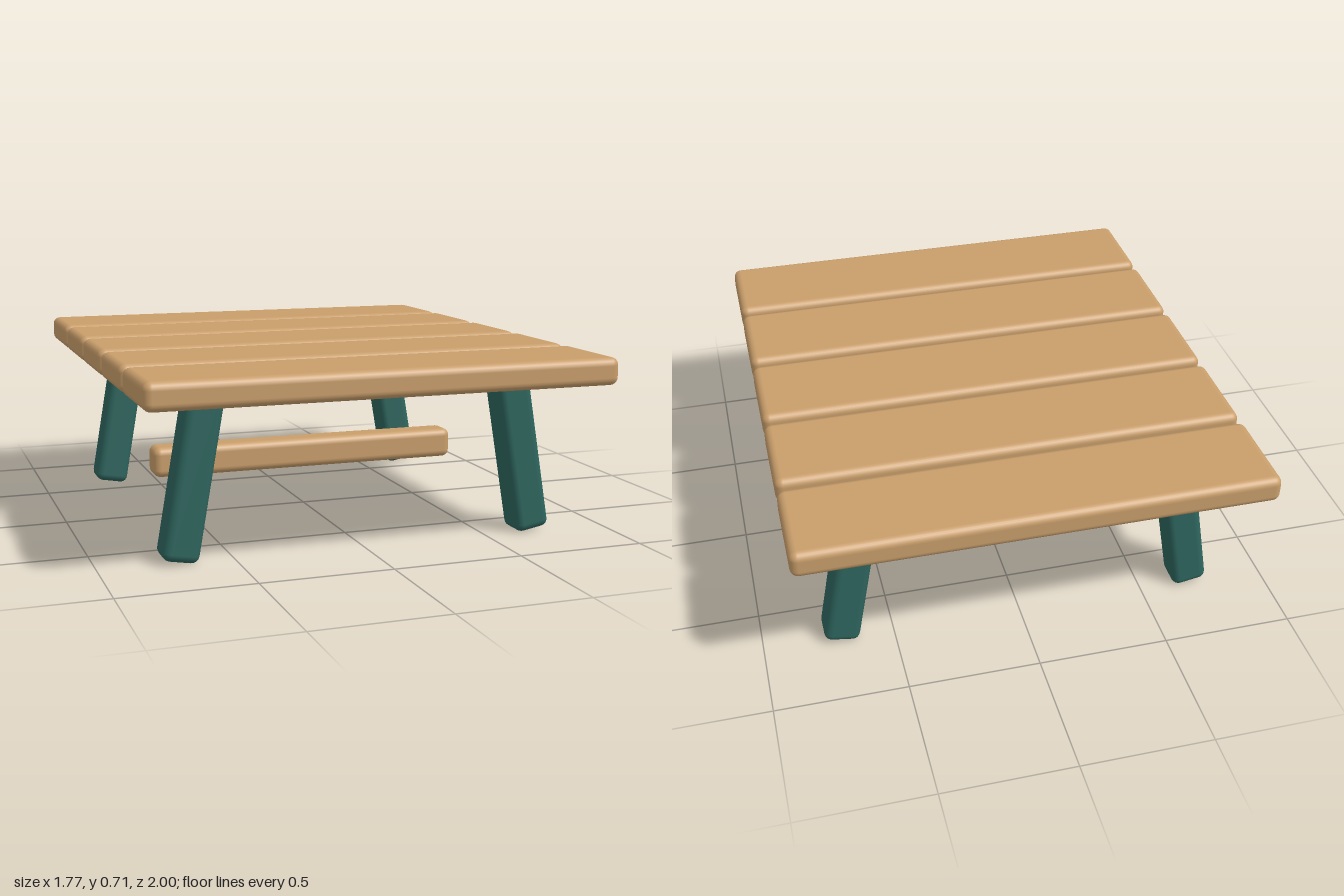
import * as THREE from 'three';
import { RoundedBoxGeometry } from 'three/addons/geometries/RoundedBoxGeometry.js';

export function createModel() {
  const table = new THREE.Group();
  table.name = 'lowPlankTable';

  const wood = new THREE.MeshStandardMaterial({ color: 0xc99e6b });
  wood.name = 'warm wood';
  const green = new THREE.MeshStandardMaterial({ color: 0x2e655e });
  green.name = 'dark green paint';

  // Softly rounded block centred on a point
  function block(name, size, position, material, radius) {
    const mesh = new THREE.Mesh(new RoundedBoxGeometry(...size, 3, radius), material);
    mesh.name = name;
    mesh.position.set(...position);
    table.add(mesh);
    return mesh;
  }

  // Table top: five planks with narrow gaps
  const plankWidth = 0.374;
  const pitch = (2 - plankWidth) / 4;
  for (let i = 0; i < 5; i++) {
    block(`topPlank${i + 1}`, [1.77, 0.104, plankWidth], [0, 0.662, (i - 2) * pitch], wood, 0.03);
  }

  // Four legs splayed outward by ten degrees
  for (const x of [-1, 1]) {
    for (const z of [-1, 1]) {
      const name = (z > 0 ? 'front' : 'back') + (x > 0 ? 'Left' : 'Right') + 'Leg';
      const leg = block(name, [0.138, 0.605, 0.136], [x * 0.652, 0.306, z * 0.657], green, 0.03);
      leg.rotation.z = x * THREE.MathUtils.degToRad(10);
    }
  }

  // Central stretcher bar
  block('stretcher', [1.3, 0.122, 0.122], [0, 0.226, 0], wood, 0.03);

  return table;
}
